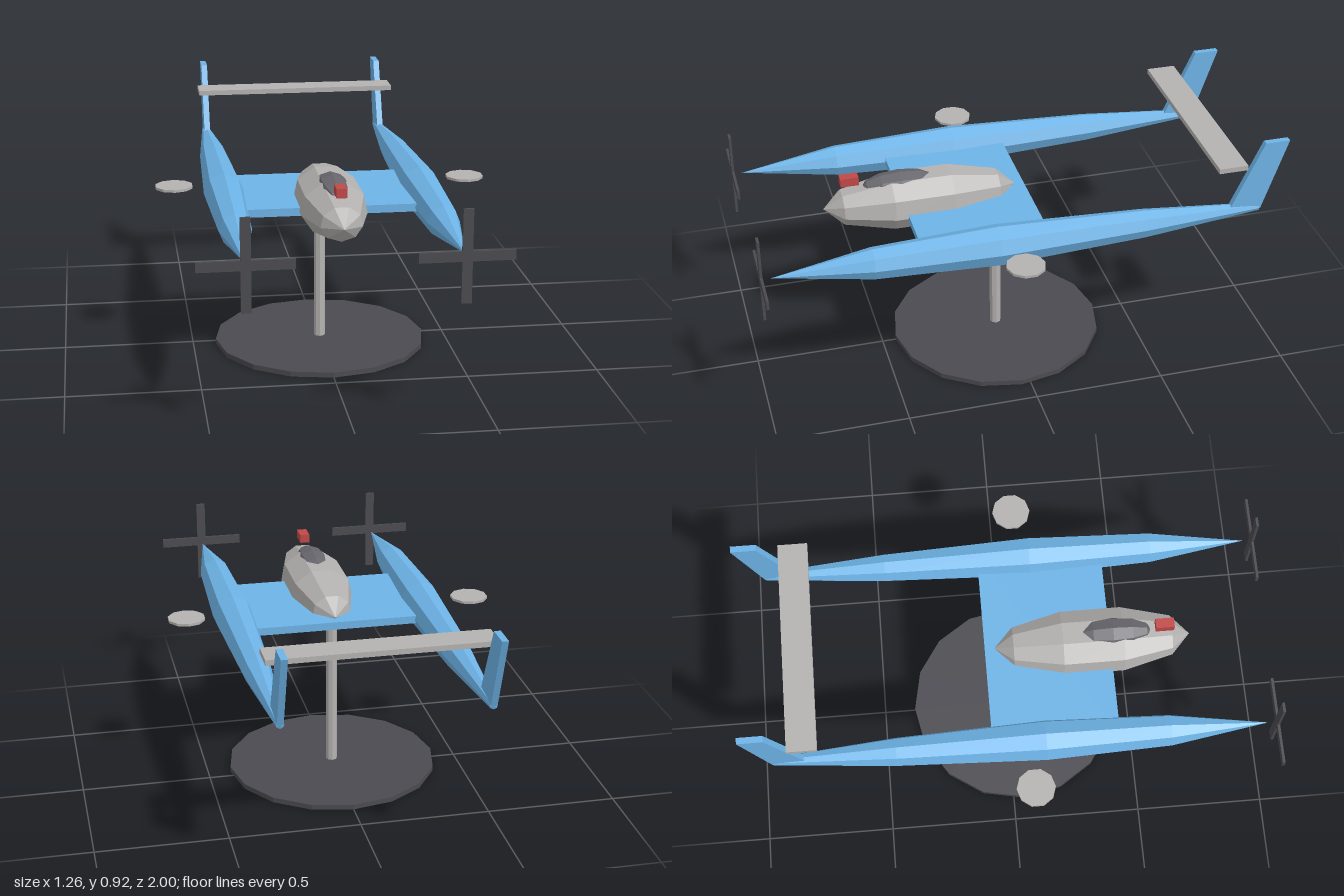
import * as THREE from 'three';

const material = (color) => new THREE.MeshStandardMaterial({ color, flatShading: true });
const blue = material(0x6db3e6);
const grey = material(0xb4b2b0);
const dark = material(0x4a4a50);
const glass = material(0x66666c);
const red = material(0xc04848);

function add(parent, name, geometry, mat, x = 0, y = 0, z = 0) {
  const mesh = new THREE.Mesh(geometry, mat);
  mesh.name = name;
  mesh.position.set(x, y, z);
  parent.add(mesh);
  return mesh;
}

// Faceted ellipsoid with its poles along z and one rib pointing straight down
function pod(sides, rings, rx, ry, rz) {
  const geo = new THREE.SphereGeometry(1, sides, rings);
  geo.rotateX(Math.PI / 2);
  const phase = -Math.PI / 2 - Math.PI;
  geo.rotateZ(phase);
  // SphereGeometry starts on -x, so turn that rib to -y
  geo.rotateZ(Math.PI);
  return geo.scale(rx, ry, rz);
}

function ellipsoid(sides, rings, rx, ry, rz) {
  const geo = new THREE.SphereGeometry(1, sides, rings);
  geo.rotateX(Math.PI / 2); // poles on z, first rib on -x
  geo.rotateZ(Math.PI / 2); // first rib on -y
  return geo.scale(rx, ry, rz);
}

// Spindle-shaped boom, profile as radius and z
function boomGeometry() {
  const profile = [[0, -0.905], [0.015, -0.9], [0.055, -0.44], [0.078, 0.12], [0.06, 0.59], [0, 0.96]];
  const geo = new THREE.LatheGeometry(profile.map(([r, z]) => new THREE.Vector2(r, z)), 8);
  return geo.rotateX(Math.PI / 2);
}

// Swept fin drawn in the z-y plane and given thickness along x
function finGeometry() {
  const t = 0.024;
  const shape = new THREE.Shape([[0.775, 0.64], [0.905, 0.64], [1, 0.92], [0.905, 0.92]]
    .map(([back, y]) => new THREE.Vector2(back, y)));
  const geo = new THREE.ExtrudeGeometry(shape, { depth: t, bevelEnabled: false });
  return geo.translate(0, 0, -t / 2).rotateY(Math.PI / 2);
}

export function createModel() {
  const model = new THREE.Group();
  model.name = 'twinBoomAircraft';

  // Display stand
  add(model, 'standBase', new THREE.CylinderGeometry(0.412, 0.412, 0.02, 16), dark, 0, 0.01, 0.035);
  add(model, 'standPost', new THREE.CylinderGeometry(0.022, 0.022, 0.62, 8), grey, 0, 0.325, 0.035);

  // Wing between the booms
  add(model, 'wing', new THREE.BoxGeometry(0.75, 0.03, 0.48), blue, 0, 0.64, 0.16);

  // Cabin pod with canopy and nose light
  add(model, 'cabin', ellipsoid(9, 5, 0.131, 0.111, 0.373), grey, 0, 0.659, 0.33);
  add(model, 'canopy', ellipsoid(8, 6, 0.063, 0.05, 0.15), glass, 0, 0.728, 0.405);
  add(model, 'noseLight', new THREE.BoxGeometry(0.038, 0.034, 0.07), red, 0, 0.772, 0.6);

  // Booms, fins, propellers and outboard discs, one set per side
  for (const [side, s] of [['left', 1], ['right', -1]]) {
    const group = new THREE.Group();
    group.name = side + 'Boom';
    const x = s * 0.375;
    add(group, side + 'Hull', boomGeometry(), blue, x, 0.64, 0);
    add(group, side + 'Fin', finGeometry(), blue, x, 0, 0);

    const propeller = new THREE.Group();
    propeller.name = side + 'Propeller';
    propeller.position.set(x, 0.642, 0.995);
    add(propeller, 'horizontalBlade', new THREE.BoxGeometry(0.335, 0.036, 0.01), dark);
    add(propeller, 'verticalBlade', new THREE.BoxGeometry(0.036, 0.335, 0.01), dark);
    group.add(propeller);

    add(group, side + 'Disc', new THREE.CylinderGeometry(0.073, 0.073, 0.01, 10), grey, s * 0.563, 0.66, 0.067);
    model.add(group);
  }

  // Tailplane bridging the fins
  add(model, 'tailplane', new THREE.BoxGeometry(0.82, 0.02, 0.112), grey, 0, 0.84, -0.775);

  return model;
}
